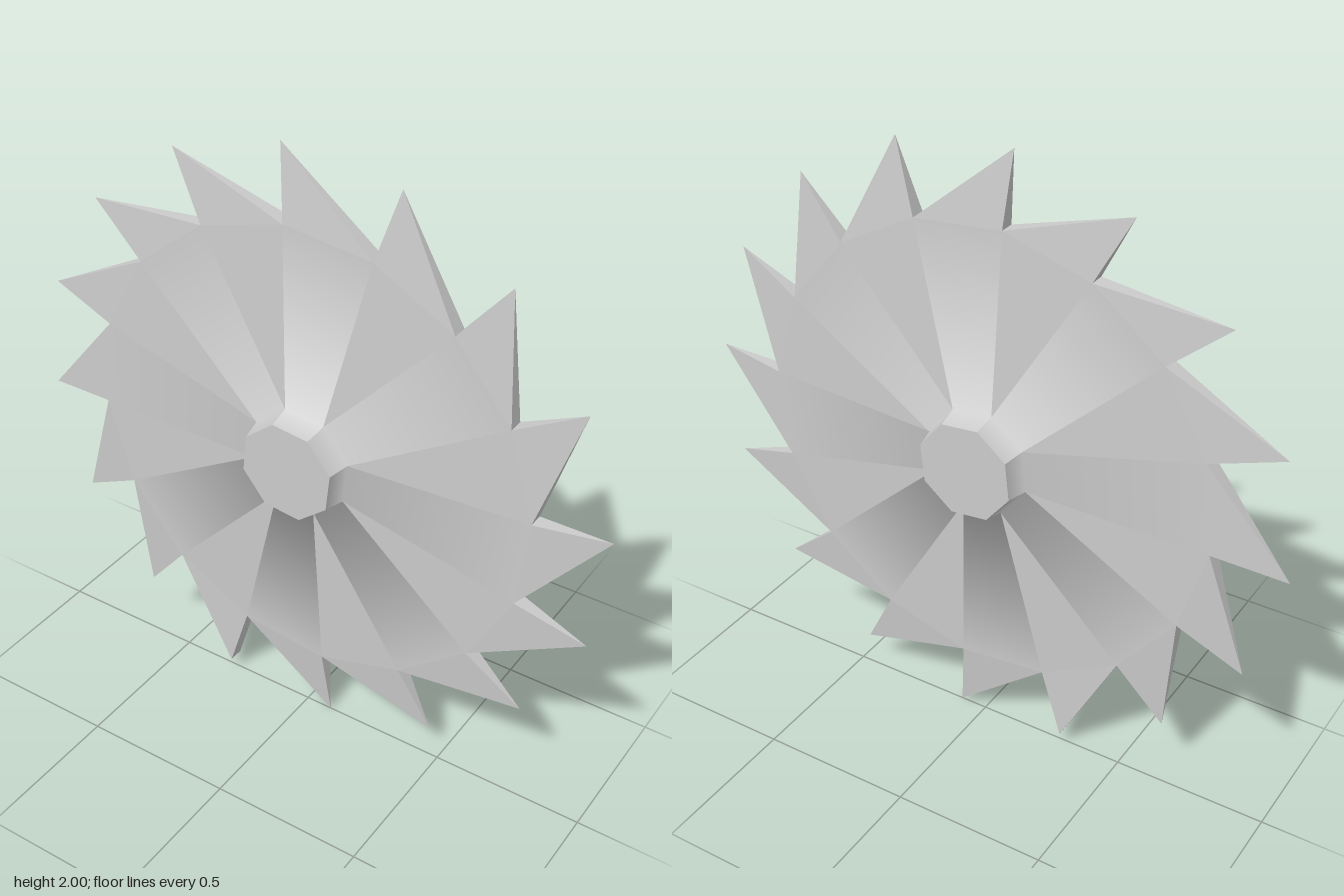
import * as THREE from 'three';

const TEETH = 16, SIDES = 8, STEP = 360 / TEETH;
const START = 95.2;                       // angle of the first tooth tip
const TIP_R = 1.003, ROOT_R = 0.765, ROOT_Z = 0.025;
const HUB_R = 0.177, HUB_Z = 0.048, CAP_R = 0.162, CAP_Z = 0.12;
const BLUNT = 7;                          // the one tooth with a chisel end

// Point at radius r, angle in degrees, depth z
function polar(r, deg, z) {
  const a = THREE.MathUtils.degToRad(deg);
  return new THREE.Vector3(r * Math.cos(a), r * Math.sin(a), z);
}

function flatNormal(p) {
  const a = p[2].clone().sub(p[0]);
  const b = (p[3] || p[0]).clone().sub(p[1]);
  return a.cross(b).normalize();
}

// Collects convex faces (corners counter-clockwise from outside) into one mesh
class Faces {
  pos = [];
  nor = [];
  add(p, normals) {
    const n = flatNormal(p);
    for (let i = 1; i < p.length - 1; i++) {
      for (const k of [0, i, i + 1]) {
        this.pos.push(...p[k].toArray());
        this.nor.push(...(normals ? normals[k] : n).toArray());
      }
    }
  }
  // Adds a front face and its mirror image on the back
  addBothSides(p, normals) {
    this.add(p, normals);
    const flip = (v) => new THREE.Vector3(v.x, v.y, -v.z);
    this.add(p.map(flip).reverse(), normals && normals.map(flip).reverse());
  }
  mesh(name) {
    const g = new THREE.BufferGeometry();
    g.setAttribute('position', new THREE.Float32BufferAttribute(this.pos, 3));
    g.setAttribute('normal', new THREE.Float32BufferAttribute(this.nor, 3));
    const m = new THREE.Mesh(g, new THREE.MeshStandardMaterial({ color: 0xcccccc }));
    m.name = name;
    return m;
  }
}

export function createModel() {
  const disc = new Faces(), hub = new Faces(), teeth = new Faces();
  const cap = [];

  // Disc panels and hub walls, blended smoothly where they meet
  for (let j = 0; j < SIDES; j++) {
    const a = START + STEP / 2 + j * 2 * STEP, b = a + 2 * STEP;
    const root = (deg) => polar(ROOT_R, deg, ROOT_Z);
    const h0 = polar(HUB_R, a, HUB_Z), h1 = polar(HUB_R, b, HUB_Z);
    const c0 = polar(CAP_R, a, CAP_Z), c1 = polar(CAP_R, b, CAP_Z);

    const panel = [h0, root(a + STEP / 2), root(b - STEP / 2), h1];
    const wall = [h0, h1, c1, c0];
    const np = flatNormal(panel), nw = flatNormal(wall);
    const blend = np.clone().add(nw).normalize();
    disc.addBothSides(panel, [blend, np, np, blend]);
    disc.addBothSides([h0, root(a - STEP / 2), root(a + STEP / 2)]);
    hub.addBothSides(wall, [blend, blend, nw, nw]);
    cap.push(c0);
  }
  hub.addBothSides(cap);

  // Raked teeth: a radial leading edge and a long sloping back
  for (let k = 0; k < TEETH; k++) {
    const a = START + k * STEP;
    const v = polar(ROOT_R, a, ROOT_Z), vb = polar(ROOT_R, a, -ROOT_Z);
    const w = polar(ROOT_R, a - STEP, ROOT_Z), wb = polar(ROOT_R, a - STEP, -ROOT_Z);
    const tipZ = k === BLUNT ? ROOT_Z : 0;
    const t = polar(TIP_R, a, tipZ);
    const tb = k === BLUNT ? polar(TIP_R, a, -tipZ) : t;

    teeth.addBothSides([v, w, t]);
    teeth.add([...new Set([v, t, tb, vb])]);
    teeth.add([...new Set([t, w, wb, tb])]);
  }

  const blade = new THREE.Group();
  blade.name = 'sawBlade';
  blade.add(disc.mesh('disc'), hub.mesh('hub'), teeth.mesh('teeth'));
  blade.position.y = 1;
  const model = new THREE.Group();
  model.name = 'model';
  model.add(blade);
  return model;
}
